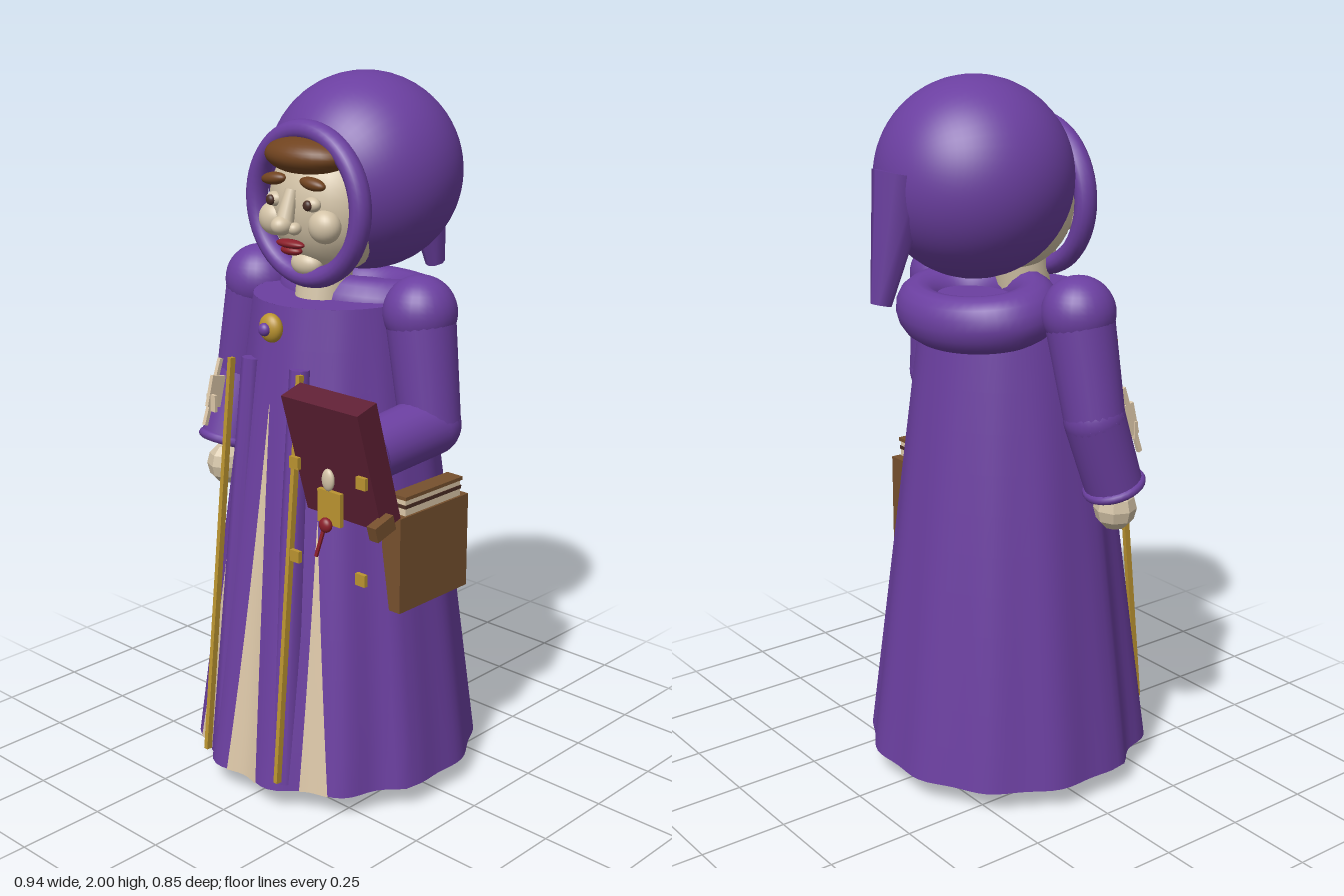
import * as THREE from 'three';

const mat = (name, color, side = THREE.FrontSide) => {
  const m = new THREE.MeshStandardMaterial({ color, side });
  m.name = name;
  return m;
};
const V = (x, y, z) => new THREE.Vector3(x, y, z);
const CX = -0.015; // body axis

export function createModel() {
  const root = new THREE.Group();
  root.name = 'hoodedScholar';
  const purple = mat('purple cloth', 0x6b3fa0, THREE.DoubleSide);
  const cream = mat('cream lining', 0xdcc7a8, THREE.DoubleSide);
  const skin = mat('skin', 0xd2c2a6);
  const gold = mat('gold', 0xba9330);
  const maroon = mat('maroon leather', 0x5f2035);
  const brown = mat('brown leather', 0x76502e);
  const hairMat = mat('hair brown', 0x70431f);
  const dark = mat('dark brown', 0x4a2d24);
  const red = mat('deep red', 0x8a1f2a);

  const add = (name, geo, material, pos = [0, 0, 0], scale = [1, 1, 1], rot = [0, 0, 0], parent = root) => {
    const m = new THREE.Mesh(geo, material);
    m.name = name;
    m.position.set(...pos);
    m.scale.set(...scale);
    m.rotation.set(...rot);
    parent.add(m);
    return m;
  };
  const box = (name, size, material, pos, rot) => add(name, new THREE.BoxGeometry(...size), material, pos, [1, 1, 1], rot);
  const ball = (name, r, material, pos, rot) => add(name, new THREE.SphereGeometry(1, 28, 20), material, pos, r, rot);
  // stretch a y-aligned geometry of unit height between two points
  const between = (name, geo, material, a, b) => {
    const m = add(name, geo, material);
    const d = b.clone().sub(a);
    m.position.copy(a).add(b).multiplyScalar(0.5);
    m.scale.y = d.length();
    m.quaternion.setFromUnitVectors(V(0, 1, 0), d.normalize());
    return m;
  };
  const limb = (name, material, a, b, ra, rb, n = 24) =>
    between(name, new THREE.CylinderGeometry(rb, ra, 1, n), material, a, b);

  // robe surface: angle from the front, t = 0 at the hem, 1 at the shoulders
  const Y0 = 0.065, Y1 = 1.41;
  const robePoint = (a, t, out = 0) => {
    const amp = (Math.cos(a) > 0.3 ? 0.035 : 0.016) * Math.pow(1 - t, 0.8);
    const k = 1 - amp * Math.cos(12 * a) + out;
    return [CX + (0.4 - 0.17 * t) * k * Math.sin(a), Y0 + (Y1 - Y0) * t,
      0.015 + (0.4 - 0.165 * t) * k * Math.cos(a)];
  };
  // grid of points with cols x rows quads
  const loft = (cols, rows, fn, wrap) => {
    const pos = [], idx = [], n = wrap ? cols : cols + 1;
    for (let j = 0; j <= rows; j++) for (let i = 0; i < n; i++) pos.push(...fn(i / cols, j / rows));
    for (let j = 0; j < rows; j++) for (let i = 0; i < cols; i++) {
      const a = j * n + i, b = j * n + (i + 1) % n;
      idx.push(a, b, b + n, a, b + n, a + n);
    }
    const g = new THREE.BufferGeometry();
    g.setAttribute('position', new THREE.Float32BufferAttribute(pos, 3));
    g.setIndex(idx);
    g.computeVertexNormals();
    return g;
  };
  add('robe', loft(96, 12, (u, v) => robePoint(u * Math.PI * 2, v), true), purple);
  add('robeTop', new THREE.CircleGeometry(1, 48), purple, [CX, Y1, 0.015], [0.23, 0.235, 1], [-Math.PI / 2, 0, 0]);
  add('underRobe', new THREE.CircleGeometry(1, 48), cream, [CX, 0.075, 0.015], [0.37, 0.37, 1], [Math.PI / 2, 0, 0]);

  // cream wedges between the folds
  for (const [a0, half, top] of [[0, 0.145, 1.14], [-0.58, 0.105, 0.75], [0.58, 0.105, 0.84]]) {
    const tMax = (top - Y0) / (Y1 - Y0);
    add('creamWedge', loft(6, 8, (u, v) =>
      robePoint(a0 + (u * 2 - 1) * half * (1 - v * 0.98), v * tMax, 0.01)), cream);
  }

  // front pleats with gold trims
  for (const s of [-1, 1]) {
    limb('frontPleat', purple, V(CX + s * 0.115, 0.08, 0.355), V(CX + s * 0.092, 1.25, 0.258), 0.05, 0.028, 8);
    between('goldTrim', new THREE.BoxGeometry(0.013, 1, 0.018), gold,
      V(CX + s * 0.143, 0.1, 0.412), V(CX + s * 0.131, 1.25, 0.297));
    // shoes
    box('shoe', [0.148, 0.066, 0.275], dark, [CX + s * 0.116, 0.033, 0.052]);
  }

  // cowl round the neck, sloping down to the back
  add('cowl', new THREE.TorusGeometry(0.185, 0.078, 16, 48), purple, [CX, 1.375, -0.085], [1, 0.78, 1],
    [Math.PI / 2 - 0.12, 0, 0]);
  limb('neck', skin, V(CX, 1.38, 0.08), V(CX, 1.5, 0.06), 0.075, 0.075);

  // hood with face opening, rim and hanging tip
  add('hood', new THREE.SphereGeometry(0.27, 48, 32, 0, Math.PI * 2, 0.75, Math.PI - 0.75), purple,
    [CX, 1.73, -0.095], [1, 1, 1], [Math.PI / 2 + 0.2, 0, 0]);
  add('hoodRim', new THREE.TorusGeometry(0.193, 0.028, 14, 56), purple, [CX, 1.664, 0.132], [1, 1.02, 1.15]);
  const tip = limb('hoodTip', purple, V(CX, 1.425, -0.4), V(CX, 1.76, -0.325), 0.03, 0.085, 8);
  tip.scale.x = 0.9;

  // face
  ball('face', [0.178, 0.192, 0.165], skin, [CX, 1.66, 0.035]);
  ball('hair', [0.135, 0.052, 0.09], hairMat, [CX, 1.795, 0.13]);
  limb('noseBridge', skin, V(CX, 1.615, 0.222), V(CX, 1.71, 0.19), 0.026, 0.018, 10);
  ball('noseTip', [0.028, 0.026, 0.032], skin, [CX, 1.62, 0.228]);
  ball('lips', [0.05, 0.012, 0.02], red, [CX, 1.567, 0.197]);
  ball('lowerLip', [0.036, 0.013, 0.02], red, [CX, 1.549, 0.193]);
  ball('chin', [0.05, 0.035, 0.035], skin, [CX, 1.505, 0.135]);
  for (const s of [-1, 1]) {
    ball('nostril', [0.018, 0.017, 0.02], skin, [CX + s * 0.027, 1.612, 0.208]);
    ball('cheek', [0.048, 0.046, 0.04], skin, [CX + s * 0.093, 1.62, 0.162]);
    ball('eyeball', [0.027, 0.02, 0.02], skin, [CX + s * 0.069, 1.678, 0.184]);
    ball('eye', [0.014, 0.014, 0.01], dark, [CX + s * 0.069, 1.677, 0.202]);
    ball('eyebrow', [0.044, 0.017, 0.02], hairMat, [CX + s * 0.072, 1.732, 0.185], [0, 0, -s * 0.12]);
  }

  // brooch
  ball('brooch', [0.038, 0.04, 0.025], gold, [-0.018, 1.35, 0.27]);
  ball('broochGem', [0.018, 0.018, 0.015], purple, [-0.018, 1.35, 0.295]);

  // sleeves: shoulder, elbow, wrist
  const arms = {
    right: [V(-0.318, 1.4, 0.02), V(-0.372, 1.12, 0.035), V(-0.382, 0.92, 0.1)],
    left: [V(0.29, 1.4, 0.02), V(0.335, 1.1, 0.025), V(0.315, 1.07, 0.26)],
  };
  for (const [side, [sh, el, wr]] of Object.entries(arms)) {
    ball(side + 'Shoulder', [0.1, 0.1, 0.1], purple, sh.toArray());
    limb(side + 'UpperSleeve', purple, el, sh, 0.083, 0.095);
    ball(side + 'Elbow', [0.084, 0.084, 0.084], purple, el.toArray());
    limb(side + 'LowerSleeve', purple, wr, el, 0.08, 0.084);
    const cuff = add(side + 'Cuff', new THREE.TorusGeometry(0.075, 0.014, 10, 28), purple, wr.toArray());
    cuff.quaternion.setFromUnitVectors(V(0, 0, 1), wr.clone().sub(el).normalize());
  }
  const handMat = skin.clone();
  handMat.flatShading = true;
  add('rightHand', new THREE.SphereGeometry(0.06, 8, 6), handMat, [-0.372, 0.85, 0.115], [1, 1.05, 1]);
  add('leftHand', new THREE.SphereGeometry(0.06, 8, 6), handMat, [0.305, 1.065, 0.285], [1, 1, 0.6]);

  // quill tucked at the right sleeve
  between('quillShaft', new THREE.BoxGeometry(0.012, 1, 0.012), cream, V(-0.36, 0.99, 0.21), V(-0.353, 1.18, 0.15));
  between('quillVane', new THREE.BoxGeometry(0.012, 1, 0.05), cream, V(-0.358, 1.04, 0.18), V(-0.354, 1.13, 0.16));
  box('quillBarb', [0.036, 0.05, 0.01], cream, [-0.35, 1.055, 0.19]);

  // book held in the left hand, with clasp, seal and studs
  box('book', [0.265, 0.343, 0.073], maroon, [0.3075, 1.08, 0.343], [0.28, 0, 0]);
  for (const x of [0.19, 0.425]) for (const y of [0.79, 1.05]) box('bookStud', [0.032, 0.032, 0.012], gold, [x, y, 0.392]);
  box('claspPlate', [0.08, 0.09, 0.014], gold, [0.31, 0.955, 0.385]);
  ball('claspBead', [0.02, 0.03, 0.012], skin, [0.307, 1.03, 0.39]);
  ball('seal', [0.02, 0.02, 0.014], red, [0.307, 0.91, 0.4]);
  between('sealRibbon', new THREE.BoxGeometry(0.009, 1, 0.006), red, V(0.282, 0.82, 0.41), V(0.305, 0.91, 0.4));
  box('bookBuckle', [0.03, 0.042, 0.07], brown, [0.45, 0.925, 0.345], [0.28, 0, 0]);

  // satchel at the left hip with papers
  box('satchel', [0.065, 0.275, 0.285], brown, [0.302, 0.722, -0.002]);
  box('papers', [0.045, 0.06, 0.23], cream, [0.305, 0.875, -0.002]);
  box('paperCover', [0.055, 0.01, 0.238], brown, [0.305, 0.91, -0.002]);
  box('paperDivider', [0.05, 0.01, 0.234], dark, [0.305, 0.885, -0.002]);

  return root;
}
